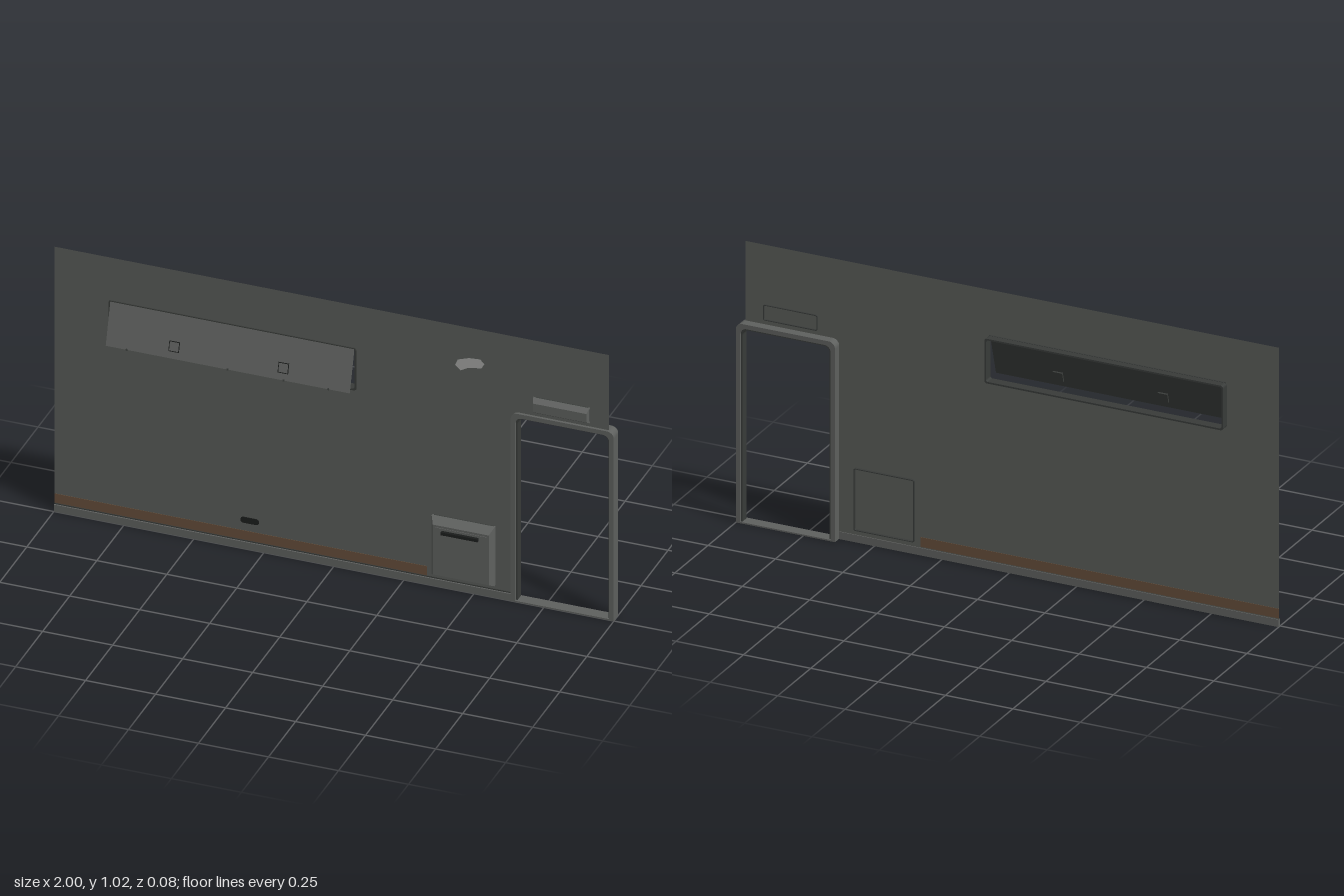
import * as THREE from 'three';

const mat = (name, color, side = THREE.FrontSide) => {
  const m = new THREE.MeshStandardMaterial({ color, side });
  m.name = name;
  return m;
};

export function createModel() {
  const root = new THREE.Group();
  root.name = 'wallPanelWithDoorway';
  const wall = mat('wallGrey', 0x585b57, THREE.DoubleSide);
  const trim = mat('trimGrey', 0x5e605e);
  const dark = mat('darkSeal', 0x383b39);
  const black = mat('black', 0x1b1d1c);
  const brown = mat('brownStripe', 0x644d3a);
  const pale = mat('paleGrey', 0xa2a3a1);

  const add = (name, geo, material, parent = root) => {
    const m = new THREE.Mesh(geo, material);
    m.name = name;
    parent.add(m);
    return m;
  };
  // Box given by its limits
  const box = (name, x0, x1, y0, y1, z0, z1, material, parent) => {
    const g = new THREE.BoxGeometry(x1 - x0, y1 - y0, z1 - z0);
    g.translate((x0 + x1) / 2, (y0 + y1) / 2, (z0 + z1) / 2);
    return add(name, g, material, parent);
  };
  // Rectangle with separate bottom and top corner radii
  const rect = (target, x0, x1, y0, y1, rb, rt) => {
    target.moveTo(x0 + rb, y0);
    target.lineTo(x1 - rb, y0);
    if (rb) target.absarc(x1 - rb, y0 + rb, rb, -Math.PI / 2, 0, false);
    target.lineTo(x1, y1 - rt);
    target.absarc(x1 - rt, y1 - rt, rt, 0, Math.PI / 2, false);
    target.lineTo(x0 + rt, y1);
    target.absarc(x0 + rt, y1 - rt, rt, Math.PI / 2, Math.PI, false);
    target.lineTo(x0, y0 + rb);
    if (rb) target.absarc(x0 + rb, y0 + rb, rb, Math.PI, Math.PI * 1.5, false);
    return target;
  };
  // Extruded ring of even width
  const ring = (name, x0, x1, y0, y1, w, rb, rt, z0, z1, material) => {
    const s = rect(new THREE.Shape(), x0, x1, y0, y1, rb, rt);
    const inR = (r) => (r ? Math.max(r - w * 0.4, 0.003) : 0);
    s.holes.push(rect(new THREE.Path(), x0 + w, x1 - w, y0 + w, y1 - w, inR(rb), inR(rt)));
    const g = new THREE.ExtrudeGeometry(s, { depth: z1 - z0, bevelEnabled: false, curveSegments: 6 });
    g.translate(0, 0, z0);
    return add(name, g, material);
  };
  // Box whose front face is drawn in by given margins
  const tapered = (name, x0, x1, y0, y1, z0, z1, side, bottom, top, material) => {
    const m = box(name, x0, x1, y0, y1, z0, z1, material);
    const p = m.geometry.attributes.position;
    for (let i = 0; i < p.count; i++) {
      if (p.getZ(i) < (z0 + z1) / 2) continue;
      p.setX(i, p.getX(i) + (p.getX(i) < (x0 + x1) / 2 ? side : -side));
      p.setY(i, p.getY(i) + (p.getY(i) < (y0 + y1) / 2 ? bottom : -top));
    }
    m.geometry = m.geometry.toNonIndexed();
    m.geometry.computeVertexNormals();
    return m;
  };

  // Wall sheet with the window opening and the doorway cut out
  const sheet = new THREE.Shape([
    [-1, 0.005], [0.645, 0.005], [0.645, 0.715], [0.98, 0.715], [0.98, 1.018], [-1, 1.018],
  ].map(([x, y]) => new THREE.Vector2(x, y)));
  sheet.holes.push(rect(new THREE.Path(), -0.805, 0.075, 0.694, 0.848, 0.008, 0.008));
  const sheetGeo = new THREE.ShapeGeometry(sheet, 6);
  sheetGeo.translate(0, 0, -0.008);
  add('wallSheet', sheetGeo, wall);

  // Lower rail and painted stripe
  box('bottomRail', -1, 0.634, 0, 0.027, -0.011, 0.001, trim);
  box('railSeam', -1, 0.634, 0.027, 0.031, -0.007, -0.004, dark);
  box('stripe', -1, 0.33, 0.031, 0.066, -0.0095, -0.0065, brown);

  // Door surround: outer U, recessed inner lip and sill
  const doorU = (name, x0, x1, y1, w, r, z0, z1, material) => {
    const s = new THREE.Shape();
    s.moveTo(x0, 0);
    s.lineTo(x0, y1 - r);
    s.absarc(x0 + r, y1 - r, r, Math.PI, Math.PI / 2, true);
    s.lineTo(x1 - r, y1);
    s.absarc(x1 - r, y1 - r, r, Math.PI / 2, 0, true);
    s.lineTo(x1, 0);
    s.lineTo(x1 - w, 0);
    s.lineTo(x1 - w, y1 - w - r);
    s.absarc(x1 - w - r, y1 - w - r, r, 0, Math.PI / 2, false);
    s.lineTo(x0 + w + r, y1 - w);
    s.absarc(x0 + w + r, y1 - w - r, r, Math.PI / 2, Math.PI, false);
    s.lineTo(x0 + w, 0);
    const g = new THREE.ExtrudeGeometry(s, { depth: z1 - z0, bevelEnabled: false, curveSegments: 6 });
    g.translate(0, 0, z0);
    add(name, g, material);
  };
  doorU('doorFrame', 0.632, 1, 0.728, 0.016, 0.024, -0.04, 0.002, trim);
  doorU('doorInnerLip', 0.646, 0.986, 0.714, 0.008, 0.022, -0.035, -0.006, dark);
  box('doorSill', 0.64, 0.992, 0, 0.005, -0.04, 0.002, trim);

  // Window frame and its flap, hinged open at the top
  ring('windowFrame', -0.808, 0.078, 0.69, 0.853, 0.006, 0.01, 0.01, -0.04, -0.006, dark);
  box('hingeRail', -0.804, 0.074, 0.844, 0.854, -0.014, -0.004, dark);
  const flap = new THREE.Group();
  flap.name = 'windowFlap';
  flap.position.set(-0.365, 0.85, -0.008);
  flap.rotation.x = -0.28;
  root.add(flap);
  box('flapOuterSkin', -0.435, 0.435, -0.154, 0, -0.001, 0.004, trim, flap);
  box('flapInnerSkin', -0.433, 0.433, -0.152, -0.002, -0.006, -0.001, dark, flap);
  for (const x of [-0.195, 0.195]) {
    box('latchSeam', x - 0.019, x + 0.019, -0.13, -0.093, 0.004, 0.0045, black, flap);
    box('latchPlate', x - 0.016, x + 0.016, -0.127, -0.096, 0.0045, 0.006, trim, flap);
    box('latchInside', x - 0.018, x + 0.018, -0.13, -0.093, -0.012, -0.006, dark, flap);
  }
  for (const x of [-0.36, 0, 0.2, 0.36]) {
    box('flapStud', x - 0.003, x + 0.003, -0.157, -0.15, 0.001, 0.006, dark, flap);
  }

  // Service hatch with raised face and handle
  ring('hatchRim', 0.35, 0.574, 0.045, 0.272, 0.003, 0.006, 0.006, -0.018, -0.004, dark);
  box('hatchBase', 0.35, 0.574, 0.045, 0.272, -0.007, 0.002, trim);
  tapered('hatchBody', 0.35, 0.574, 0.045, 0.272, 0.002, 0.023, 0.012, 0.013, 0.022, trim);
  box('hatchFace', 0.37, 0.554, 0.066, 0.242, 0.023, 0.025, trim);
  box('hatchHandle', 0.395, 0.527, 0.223, 0.234, 0.025, 0.036, black);

  // Lamp above the doorway
  ring('lampRim', 0.711, 0.912, 0.744, 0.801, 0.003, 0.006, 0.006, -0.014, -0.004, dark);
  box('lampBase', 0.711, 0.912, 0.744, 0.801, -0.007, 0, trim);
  tapered('lampCover', 0.711, 0.912, 0.744, 0.801, 0, 0.014, 0.005, 0.01, 0.014, trim);

  // Pale patch and small dark socket
  const patch = new THREE.Shape([
    [0.43, 0.865], [0.45, 0.848], [0.475, 0.862], [0.525, 0.872], [0.535, 0.89],
    [0.52, 0.905], [0.48, 0.902], [0.44, 0.888],
  ].map(([x, y]) => new THREE.Vector2(x, y)));
  const patchGeo = new THREE.ShapeGeometry(patch);
  patchGeo.translate(0, 0, -0.006);
  add('patch', patchGeo, pale);
  const socket = rect(new THREE.Shape(), -0.336, -0.27, 0.097, 0.119, 0.0105, 0.0105);
  const socketGeo = new THREE.ExtrudeGeometry(socket, { depth: 0.003, bevelEnabled: false, curveSegments: 6 });
  socketGeo.translate(0, 0, -0.0075);
  add('socket', socketGeo, black);

  return root;
}
